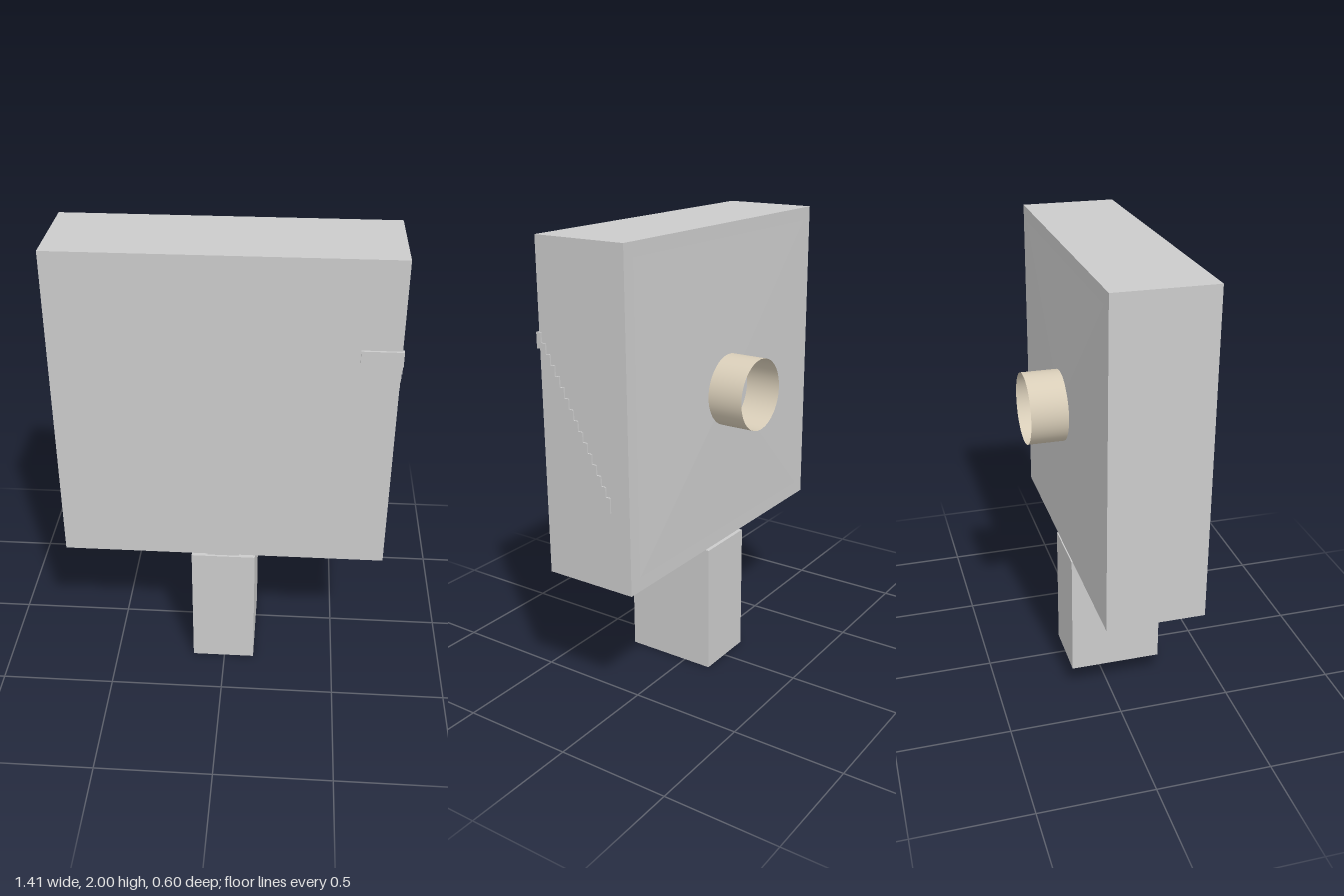
import * as THREE from 'three';

const grey = new THREE.MeshStandardMaterial({ color: 0xcccccc });
const beige = new THREE.MeshStandardMaterial({ color: 0xd8cdb8, side: THREE.DoubleSide });

export function createModel() {
  const model = new THREE.Group();

  // Box given by its lower and upper corners
  const box = (name, [x0, y0, z0], [x1, y1, z1], parent = model) => {
    const mesh = new THREE.Mesh(new THREE.BoxGeometry(x1 - x0, y1 - y0, z1 - z0), grey);
    mesh.position.set((x0 + x1) / 2, (y0 + y1) / 2, (z0 + z1) / 2);
    mesh.name = name;
    parent.add(mesh);
  };

  // Square head on a short neck and a handle
  box('head', [-0.705, 0.6, -0.131], [0.695, 2, 0.29]);
  box('neck', [-0.075, 0.58, 0.06], [0.065, 0.605, 0.28]);
  box('handle', [-0.145, 0, -0.131], [0.135, 0.586, 0.29]);

  // Very shallow raised back that peaks around the socket
  const backGeometry = new THREE.CylinderGeometry(0.155, 0.7 * Math.SQRT2, 0.01, 4, 1);
  backGeometry.rotateY(Math.PI / 4).rotateX(-Math.PI / 2);
  const back = new THREE.Mesh(backGeometry.toNonIndexed(), grey);
  back.geometry.computeVertexNormals();
  back.position.set(-0.005, 1.3, -0.135);
  back.name = 'raisedBack';
  model.add(back);

  // Open tube on the back
  const tube = new THREE.Mesh(new THREE.CylinderGeometry(0.155, 0.155, 0.167, 48, 1, true), beige);
  tube.rotation.x = Math.PI / 2;
  tube.position.set(-0.003, 1.296, -0.2165);
  tube.name = 'socketTube';
  model.add(tube);

  // Thin strip wrapping the front corner, then stepping down the left side
  box('frontStrip', [0.535, 1.56, 0.285], [0.702, 1.625, 0.3]);
  const stairs = new THREE.Group();
  stairs.name = 'steppedStrip';
  model.add(stairs);
  const steps = 16, depth = 0.34 / steps, drop = 0.62 / (steps - 1);
  for (let i = 0; i < steps; i++) {
    const top = 1.625 - i * drop, front = 0.3 - i * depth;
    box('step', [0.69, top - 0.065, front - depth], [0.702, top, front], stairs);
  }
  return model;
}
